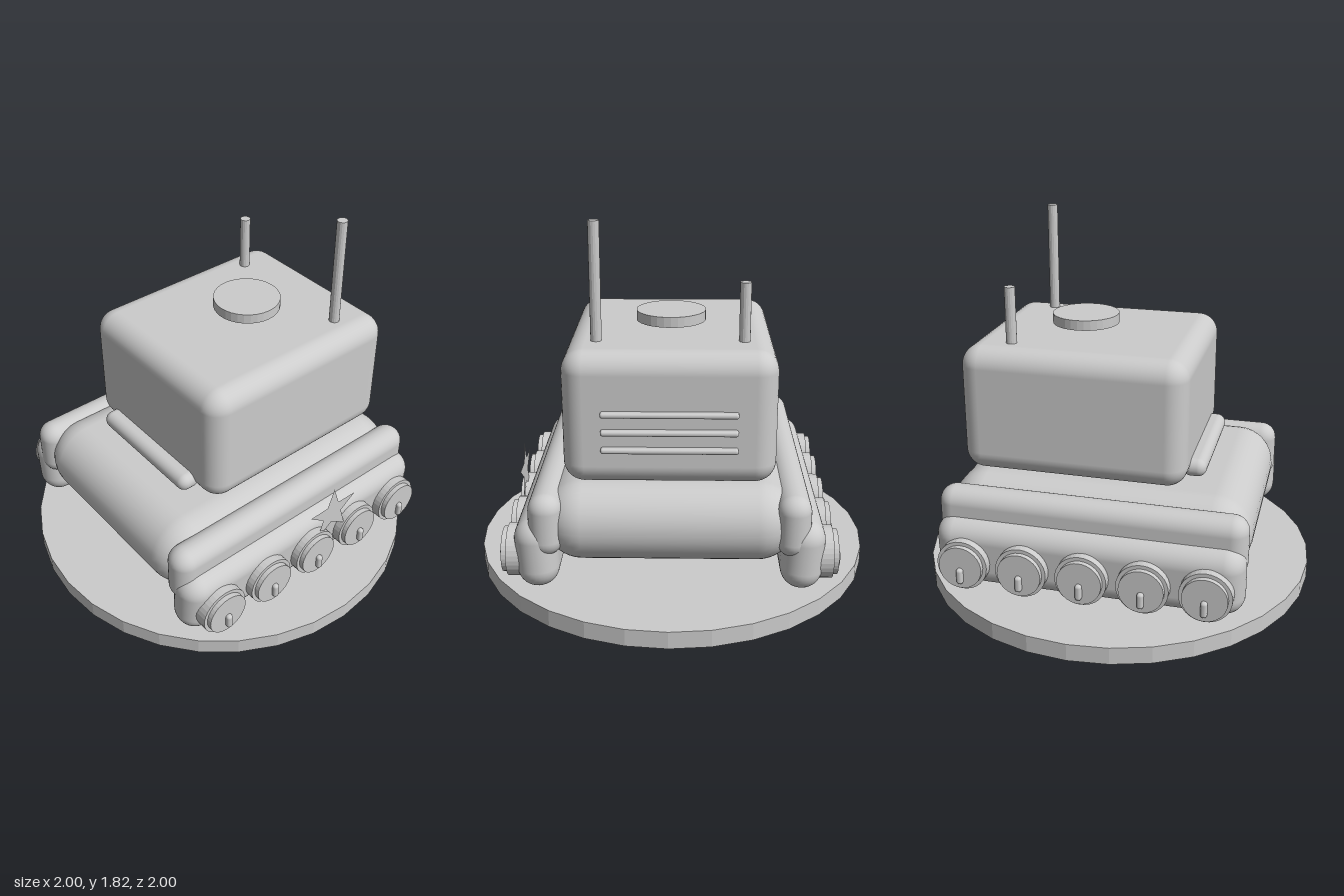
import * as THREE from 'three';
import { RoundedBoxGeometry } from 'three/addons/geometries/RoundedBoxGeometry.js';

export function createModel() {
  const model = new THREE.Group();
  const grey = new THREE.MeshStandardMaterial({ color: 0xcccccc, side: THREE.DoubleSide });
  grey.name = 'lightGrey';

  const add = (name, geometry, x, y, z) => {
    const mesh = new THREE.Mesh(geometry, grey);
    mesh.name = name;
    mesh.position.set(x, y, z);
    model.add(mesh);
    return mesh;
  };
  const rounded = (w, h, d, r) => new RoundedBoxGeometry(w, h, d, 5, r);
  // Faceted upright cylinder
  const disc = (r, h, sides) => {
    const g = new THREE.CylinderGeometry(r, r, h, sides).toNonIndexed();
    g.computeVertexNormals();
    return g;
  };

  // Display base and hull
  add('base', disc(1, 0.086, 32), 0, 0.043, 0);
  add('hull', rounded(1.2, 0.385, 1.51, 0.19), 0, 0.4325, 0);

  // Cabin, front bumper and floating roof hatch
  add('cabin', rounded(0.98, 0.63, 1.11, 0.1), 0, 0.955, -0.125);
  add('frontBumper', rounded(0.68, 0.09, 0.12, 0.044), 0, 0.7, 0.445);
  add('roofHatch', disc(0.167, 0.05, 32), 0, 1.325, -0.175);

  // Antennas, the left one taller
  for (const [x, top] of [[0.34, 1.82], [-0.34, 1.545]]) {
    add('antenna', disc(0.026, top - 1.2, 16), x, (top + 1.2) / 2, -0.45);
  }

  // Rear vent bars
  for (const y of [0.825, 0.91, 0.995]) {
    add('ventBar', rounded(0.62, 0.026, 0.05, 0.012), 0, y, -0.685);
  }

  // Fenders, tracks and wheels on both sides
  for (const s of [1, -1]) {
    add('fender', rounded(0.16, 0.305, 1.51, 0.079), s * 0.575, 0.452, 0);
    add('track', rounded(0.2, 0.345, 1.51, 0.099), s * 0.622, 0.302, 0).rotation.z = -s * 0.06;
    for (let i = -2; i <= 2; i++) {
      const z = i * 0.294;
      add('wheel', disc(0.125, 0.11, 32), s * 0.71, 0.273, z).rotation.z = Math.PI / 2;
      add('wheelHub', disc(0.107, 0.1, 32), s * 0.74, 0.273, z).rotation.z = Math.PI / 2;
      add('hubPin', rounded(0.05, 0.08, 0.032, 0.014), s * 0.787, 0.233, z);
    }
  }

  // Flat star on the left side
  const star = new THREE.Shape();
  for (let i = 0; i < 10; i++) {
    const r = i % 2 ? 0.063 : 0.158;
    const a = Math.PI / 2 + i * Math.PI / 5;
    if (i) star.lineTo(r * Math.cos(a), r * Math.sin(a));
    else star.moveTo(r * Math.cos(a), r * Math.sin(a));
  }
  star.closePath();
  add('star', new THREE.ShapeGeometry(star), 0.755, 0.475, -0.112).rotation.y = Math.PI / 2;

  return model;
}
